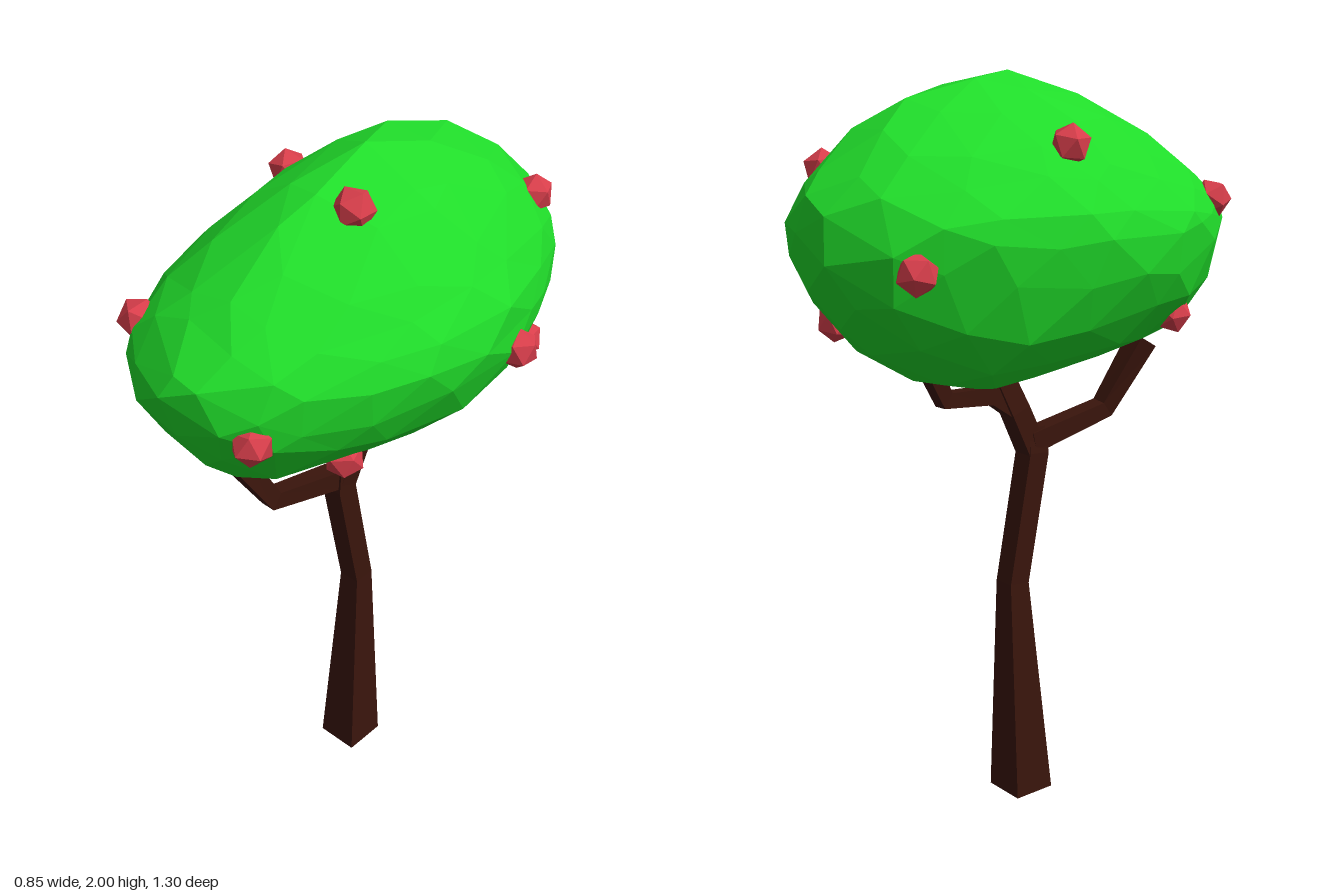
import * as THREE from 'three';

const bark = new THREE.MeshStandardMaterial({ color: 0x3a150c, flatShading: true });
const leaf = new THREE.MeshStandardMaterial({ color: 0x20dc2a, flatShading: true });
const red = new THREE.MeshStandardMaterial({ color: 0xd83e4b, flatShading: true });

// Square-section limb through points [x, y, z, width]
function limb(name, pts) {
  const pos = [], idx = [], n = pts.length;
  const P = pts.map(p => new THREE.Vector3(p[0], p[1], p[2]));
  const X = new THREE.Vector3(1, 0, 0);
  P.forEach((p, i) => {
    const t = new THREE.Vector3();
    if (i > 0) t.add(p.clone().sub(P[i - 1]).normalize());
    if (i < n - 1) t.add(P[i + 1].clone().sub(p).normalize());
    if (p.y === 0) t.set(0, 1, 0); // flat foot on the ground
    t.normalize();
    const v = new THREE.Vector3().crossVectors(t, X).normalize();
    const u = new THREE.Vector3().crossVectors(v, t).normalize();
    const h = pts[i][3] / 2;
    for (const [s, c] of [[-1, -1], [1, -1], [1, 1], [-1, 1]]) {
      const q = p.clone().addScaledVector(u, s * h).addScaledVector(v, c * h);
      pos.push(q.x, q.y, q.z);
    }
  });
  for (let i = 0; i < n - 1; i++) {
    for (let k = 0; k < 4; k++) {
      const a = i * 4 + k, b = i * 4 + (k + 1) % 4;
      idx.push(a, b, b + 4, a, b + 4, a + 4);
    }
  }
  const e = (n - 1) * 4;
  idx.push(0, 2, 1, 0, 3, 2, e, e + 1, e + 2, e, e + 2, e + 3);
  const g = new THREE.BufferGeometry();
  g.setAttribute('position', new THREE.Float32BufferAttribute(pos, 3));
  g.setIndex(idx);
  g.computeVertexNormals();
  const m = new THREE.Mesh(g, bark);
  m.name = name;
  return m;
}

// Repeatable jitter from a position, -1..1
function jitter(p, seed) {
  const r = v => Math.round(v * 1000) / 1000;
  const s = Math.sin(r(p.x) * 12.9 + r(p.y) * 78.2 + r(p.z) * 37.7 + seed) * 437.5;
  return 2 * (s - Math.floor(s)) - 1;
}

// Crown radii along its length: z, up, down, +x, -x
const radii = [
  [-0.60, 0.34, 0.36, 0.385, 0.45],
  [-0.45, 0.39, 0.43, 0.37, 0.425],
  [-0.28, 0.40, 0.44, 0.385, 0.42],
  [-0.09, 0.405, 0.395, 0.405, 0.42],
  [0.11, 0.375, 0.37, 0.405, 0.42],
  [0.31, 0.345, 0.38, 0.38, 0.42],
  [0.48, 0.285, 0.43, 0.37, 0.42],
  [0.60, 0.24, 0.41, 0.385, 0.45]
];

function radius(z, column) {
  const zc = THREE.MathUtils.clamp(z, -0.6, 0.6);
  let i = 0;
  while (i < radii.length - 2 && radii[i + 1][0] < zc) i++;
  const a = radii[i], b = radii[i + 1];
  return THREE.MathUtils.lerp(a[column], b[column], (zc - a[0]) / (b[0] - a[0]));
}

// Faceted egg-shaped crown with sloping shoulders
function crown() {
  const g = new THREE.IcosahedronGeometry(1, 3);
  const a = g.attributes.position, p = new THREE.Vector3();
  for (let i = 0; i < a.count; i++) {
    p.fromBufferAttribute(a, i);
    const o = p.clone();
    p.x += 0.07 * jitter(o, 1);
    p.y += 0.07 * jitter(o, 2);
    p.z += 0.07 * jitter(o, 3);
    p.normalize().multiplyScalar(1.005 + 0.015 * jitter(o, 4));
    const z = 0.65 * p.z;
    const x = p.x * radius(z, p.x > 0 ? 3 : 4);
    const y = p.y > 0
      ? p.y * radius(z, 1) * (1 - 0.5 * p.x * p.x / (0.15 + Math.abs(p.x)))
      : p.y * radius(z, 2) * (1 - 0.1 * p.x);
    a.setXYZ(i, x, 1.6 + y, z);
  }
  g.computeVertexNormals();
  const m = new THREE.Mesh(g, leaf);
  m.name = 'crown';
  return m;
}

export function createModel() {
  const tree = new THREE.Group();
  tree.name = 'fruitTree';

  // Trunk and branches
  tree.add(
    limb('trunk', [[-0.037, 0, 0, 0.124], [-0.043, 0.63, -0.035, 0.063], [-0.044, 0.99, 0.033, 0.064], [-0.04, 1.06, 0.03, 0.055]]),
    limb('frontBranch', [[-0.045, 1.02, 0.02, 0.058], [-0.055, 1.08, 0.28, 0.05], [-0.1, 1.27, 0.385, 0.062]]),
    limb('backBranch', [[-0.044, 0.99, 0.033, 0.062], [-0.035, 1.11, -0.02, 0.06], [-0.015, 1.2, -0.055, 0.058], [-0.01, 1.28, -0.065, 0.05]]),
    limb('sideBranch', [[-0.035, 1.11, -0.02, 0.05], [-0.015, 1.158, -0.085, 0.05], [0, 1.162, -0.23, 0.046], [0, 1.24, -0.27, 0.046]])
  );
  tree.add(crown());

  // Fruit scattered over the crown
  const spots = [
    [0.11, 1.915, 0.14], [-0.285, 1.82, -0.05], [0.175, 1.755, -0.465], [-0.28, 1.54, -0.505],
    [-0.225, 1.66, 0.515], [-0.24, 1.36, 0.36], [0.375, 1.515, -0.165], [0.21, 1.36, -0.42],
    [0.175, 1.51, 0.55], [0.14, 1.27, 0.21]
  ];
  const ball = new THREE.IcosahedronGeometry(0.054, 0);
  const fruit = new THREE.Group();
  fruit.name = 'fruit';
  spots.forEach((s, i) => {
    const m = new THREE.Mesh(ball, red);
    m.name = 'fruit' + (i + 1);
    m.position.set(...s);
    m.rotation.set(i * 1.3, i * 0.7, i * 2.1);
    fruit.add(m);
  });
  tree.add(fruit);
  return tree;
}
